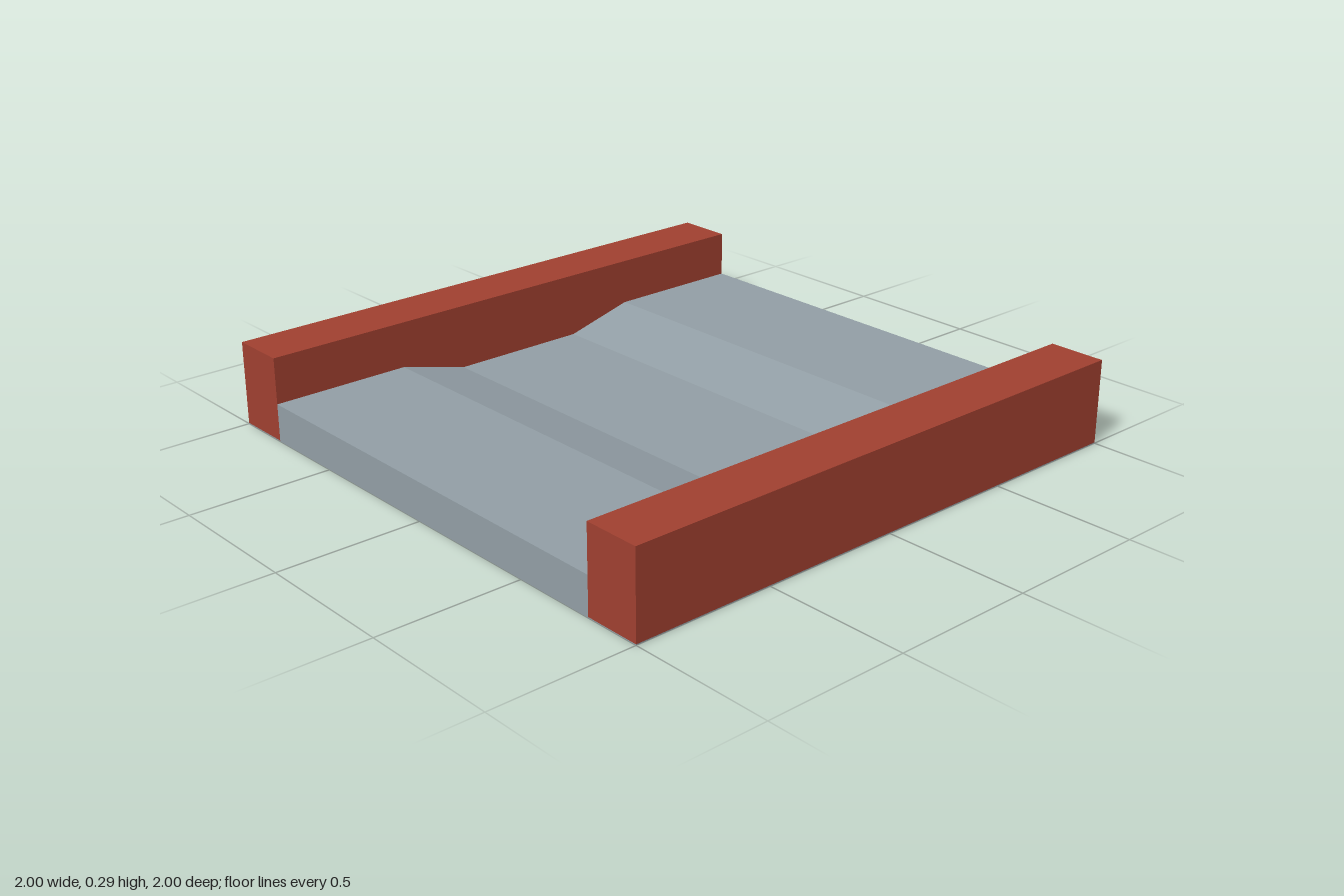
import * as THREE from 'three';

const GREY = 0x929ea5, RED = 0xa04030;
const LENGTH = 2, RAIL_W = 0.2, RAIL_H = 0.295, BASE = 0.003;
const FLOOR_H = 0.133, DIP_H = 0.067;

function part(name, geometry, color) {
  const material = new THREE.MeshStandardMaterial({ color, flatShading: true });
  const mesh = new THREE.Mesh(geometry, material);
  mesh.name = name;
  return mesh;
}

export function createModel() {
  const group = new THREE.Group();
  group.name = 'trackTile';

  // Thin underside sheet spanning the whole tile
  const base = part('underside', new THREE.BoxGeometry(2, BASE, LENGTH), GREY);
  base.position.y = BASE / 2;
  group.add(base);

  // Floor: lengthwise profile with a shallow trough, extruded across the tile
  const profile = new THREE.Shape([
    [-1, BASE], [1, BASE], [1, FLOOR_H], [0.5, FLOOR_H], [0.25, DIP_H],
    [-0.25, DIP_H], [-0.5, FLOOR_H], [-1, FLOOR_H],
  ].map(([z, y]) => new THREE.Vector2(z, y)));
  const width = 2 - 2 * RAIL_W;
  const floor = new THREE.ExtrudeGeometry(profile, { depth: width, bevelEnabled: false });
  floor.translate(0, 0, -width / 2).rotateY(Math.PI / 2);
  group.add(part('floor', floor, GREY));

  // Matching rails along both sides
  for (const [name, side] of [['leftRail', 1], ['rightRail', -1]]) {
    const rail = part(name, new THREE.BoxGeometry(RAIL_W, RAIL_H - BASE, LENGTH), RED);
    rail.position.set(side * (1 - RAIL_W / 2), (RAIL_H + BASE) / 2, 0);
    group.add(rail);
  }
  return group;
}
